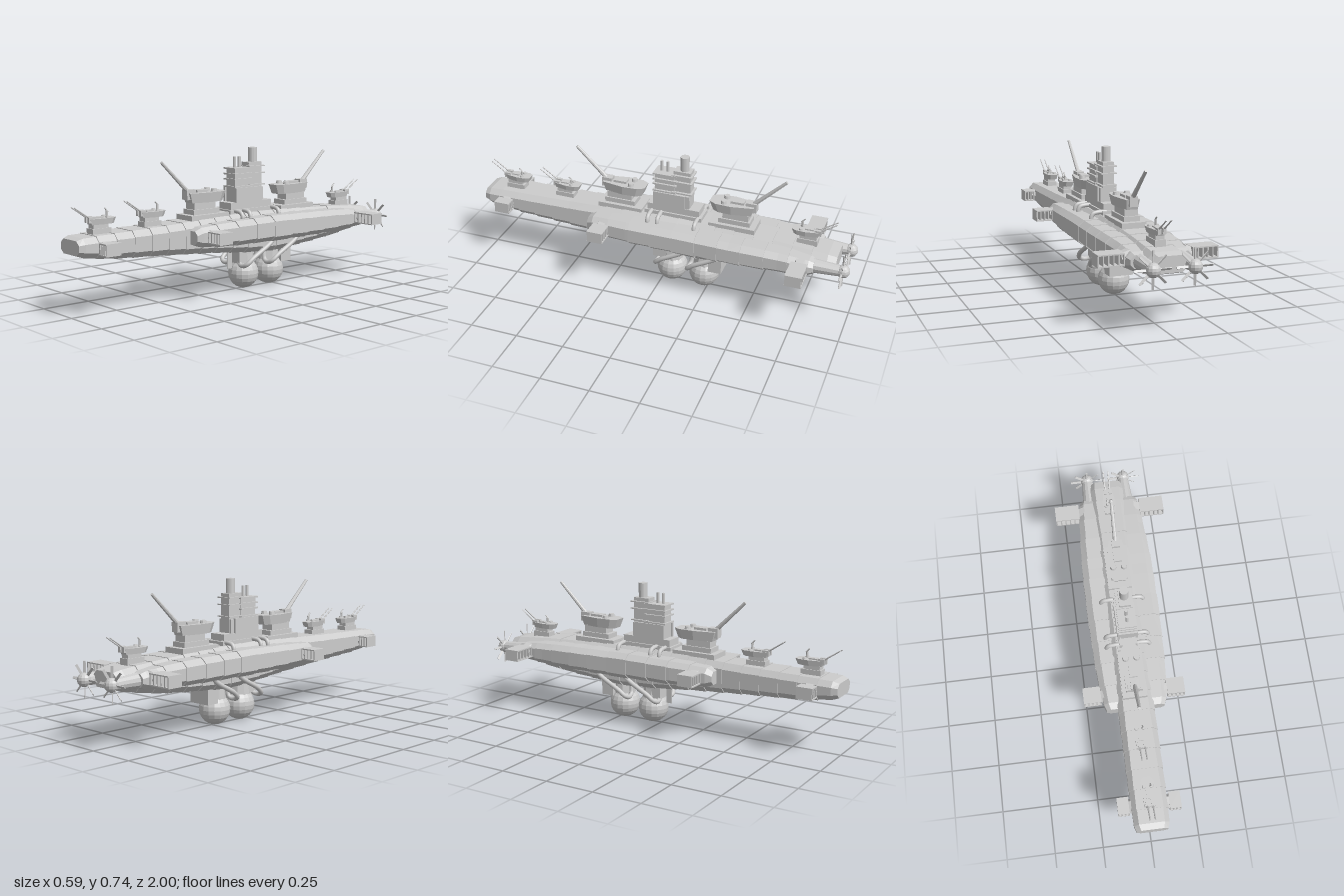
import * as THREE from 'three';

const mat = new THREE.MeshStandardMaterial({ color: 0xcccccc, flatShading: true, side: THREE.DoubleSide });
const smooth = new THREE.MeshStandardMaterial({ color: 0xcccccc });
const V = (x, y, z) => new THREE.Vector3(x, y, z);

function add(parent, name, geo, x = 0, y = 0, z = 0, m = mat) {
  const mesh = new THREE.Mesh(geo, m);
  mesh.name = name;
  mesh.position.set(x, y, z);
  parent.add(mesh);
  return mesh;
}
// Box given by its lower and upper limits on y and z, and its half width
function block(parent, name, hw, y0, y1, z0, z1, x = 0) {
  return add(parent, name, new THREE.BoxGeometry(hw * 2, y1 - y0, Math.abs(z1 - z0)), x, (y0 + y1) / 2, (z0 + z1) / 2);
}
function rod(parent, name, a, b, r0, r1 = r0, sides = 8) {
  const d = b.clone().sub(a);
  const mesh = add(parent, name, new THREE.CylinderGeometry(r1, r0, d.length(), sides));
  mesh.position.copy(a).addScaledVector(d, 0.5);
  mesh.quaternion.setFromUnitVectors(V(0, 1, 0), d.normalize());
  return mesh;
}
function pipe(parent, name, pts, r) {
  return add(parent, name, new THREE.TubeGeometry(new THREE.CatmullRomCurve3(pts), 24, r, 10), 0, 0, 0, smooth);
}
// Linear lookup in rows of [z, ...values], z falling
function lookup(rows, z) {
  let i = 0;
  while (i < rows.length - 2 && z < rows[i + 1][0]) i++;
  const a = rows[i], b = rows[i + 1], t = (z - a[0]) / (b[0] - a[0]);
  return a.map((v, k) => v + (b[k] - v) * t);
}
// Eight-sided plated hull: rows are [z, halfWidth, bottom, top, chamferX, chamferY];
// every plate starts with a small step
function platedHull(rows, plates, step) {
  const rings = [];
  const ring = (row, grow) => {
    const [z, w0, b0, t0, cx, cy] = row;
    const w = w0 + grow, b = b0 - grow, t = t0 + grow;
    rings.push([[w, b + cy], [w, t - cy], [w - cx, t], [cx - w, t], [-w, t - cy], [-w, b + cy], [cx - w, b], [w - cx, b]]
      .map(([x, y]) => V(x, y, z)));
  };
  const zs = [...new Set([...rows.map(r => r[0]), ...plates])].sort((a, b) => b - a);
  for (const z of zs) {
    const row = lookup(rows, z);
    if (plates.includes(z)) {
      ring(row, z > -0.2 ? 0 : step);
      ring(row, z > -0.2 ? step : 0);
    } else ring(row, 0);
  }
  const pos = [], tri = (...p) => p.forEach(v => pos.push(v.x, v.y, v.z));
  for (let j = 0; j + 1 < rings.length; j++) for (let i = 0; i < 8; i++) {
    const k = (i + 1) % 8, a = rings[j], b = rings[j + 1];
    tri(a[i], b[i], b[k]);
    tri(a[i], b[k], a[k]);
  }
  const first = rings[0], last = rings[rings.length - 1];
  for (let i = 1; i < 7; i++) {
    tri(first[0], first[i], first[i + 1]);
    tri(last[0], last[i + 1], last[i]);
  }
  const geo = new THREE.BufferGeometry();
  geo.setAttribute('position', new THREE.Float32BufferAttribute(pos, 3));
  geo.computeVertexNormals();
  return geo;
}
// Turret pointing to +z, turned by dir; gunXs lists the barrels, tip is [y, z]
function turret(parent, name, y, z, dir, scale, gunXs, tip, r) {
  const g = new THREE.Group();
  g.name = name;
  g.position.set(0, y, z);
  g.rotation.y = dir > 0 ? 0 : Math.PI;
  g.scale.set(...scale);
  block(g, 'turretBase', 0.042, -0.03, 0.035, -0.075, 0.09);
  block(g, 'barbette', 0.034, 0.03, 0.07, -0.055, 0.08);
  const plan = new THREE.Shape([[-0.03, 0.125], [0.03, 0.125], [0.05, 0.09], [0.054, 0.01], [0.034, -0.105],
    [-0.034, -0.105], [-0.054, 0.01], [-0.05, 0.09]].map(p => new THREE.Vector2(...p)));
  const body = new THREE.ExtrudeGeometry(plan, { depth: 0.05, bevelEnabled: false }).rotateX(-Math.PI / 2);
  // Lower edge pulled inward, so the house flares upward
  const p = body.attributes.position;
  for (let i = 0; i < p.count; i++) if (p.getY(i) < 0.01) p.setXYZ(i, p.getX(i) * 0.85, 0, p.getZ(i) * 0.85);
  add(g, 'turretHouse', body, 0, 0.068, 0);
  for (const s of [-1, 1]) add(g, 'hatchDome', new THREE.CylinderGeometry(0.014, 0.017, 0.016, 10), s * 0.028, 0.125, -0.05);
  block(g, 'roofPlate', 0.02, 0.115, 0.13, -0.02, 0.05);
  for (const x of gunXs) {
    block(g, 'gunMount', r * 1.7, 0.085, 0.135, 0.06, 0.115, x);
    rod(g, 'gunBarrel', V(x, 0.105, 0.075), V(x, ...tip), r, r * 0.65);
  }
  parent.add(g);
  return g;
}
// Hollow slatted fin, reaching from x0 to x1
function fin(parent, side, x0, x1, z, slats) {
  const g = new THREE.Group();
  g.name = side > 0 ? 'leftFin' : 'rightFin';
  const mid = side * (x0 + x1) / 2, hw = (x1 - x0) / 2;
  for (const y of [0.296, 0.349]) block(g, 'finPlate', hw, y, y + 0.006, z - 0.042, z + 0.042, mid);
  for (let i = 0; i <= slats; i++)
    block(g, 'finSlat', 0.003, 0.298, 0.352, z - 0.04, z + 0.04, side * (x0 + 0.003 + (x1 - x0 - 0.006) * i / slats));
  const mount = add(g, 'finMount', new THREE.CylinderGeometry(0.03, 0.045, 0.04, 6), side * (x0 - 0.01), 0.325, z);
  mount.rotation.z = -side * Math.PI / 2;
  parent.add(g);
}

export function createModel() {
  const model = new THREE.Group();
  model.name = 'airship';

  // Hulls
  const plates = (a, b, n) => Array.from({ length: n }, (_, i) => a + (b - a) * i / (n - 1));
  add(model, 'mainHull', platedHull([
    [1, 0.078, 0.298, 0.368, 0.022, 0.02], [0.97, 0.088, 0.288, 0.378, 0.024, 0.026],
    [0.8, 0.09, 0.267, 0.382, 0.025, 0.028], [0.5, 0.09, 0.247, 0.388, 0.026, 0.03],
    [0.2, 0.092, 0.223, 0.398, 0.03, 0.03], [0, 0.094, 0.202, 0.405, 0.034, 0.03],
    [-0.2, 0.094, 0.188, 0.404, 0.034, 0.03], [-0.6, 0.092, 0.22, 0.388, 0.03, 0.03],
    [-0.88, 0.09, 0.265, 0.368, 0.025, 0.026], [-0.925, 0.082, 0.28, 0.358, 0.022, 0.022]],
  plates(0.9, -0.8, 18), 0.003));
  add(model, 'sideHull', platedHull([
    [0.372, 0.148, 0.288, 0.355, 0.02, 0.02], [0.34, 0.16, 0.275, 0.372, 0.024, 0.024],
    [0.15, 0.178, 0.265, 0.382, 0.03, 0.026], [-0.1, 0.185, 0.262, 0.388, 0.032, 0.026],
    [-0.4, 0.186, 0.262, 0.384, 0.032, 0.026], [-0.65, 0.172, 0.266, 0.374, 0.028, 0.026],
    [-0.8, 0.16, 0.274, 0.358, 0.024, 0.024], [-0.825, 0.15, 0.285, 0.348, 0.02, 0.02]],
  plates(0.25, -0.7, 9), 0.003));

  // Turrets: two large single-gun and three small twin-gun
  const big = [1, 1, 1], small = [0.64, 0.56, 0.62];
  for (const [name, z, dir] of [['frontMainTurret', 0.22, 1], ['rearMainTurret', -0.38, -1]]) {
    turret(model, name, 0.41, z, dir, big, [0], [0.28, 0.257], 0.012);
    block(model, 'turretDeck', 0.062, 0.38, 0.42, z - 0.12, z + 0.12);
  }
  for (const [name, y, z, dir] of [['bowTurret', 0.388, 0.835, 1], ['secondTurret', 0.393, 0.545, 1], ['sternTurret', 0.385, -0.757, -1]]) {
    const t = turret(model, name, y, z, dir, small, [-0.02, 0.02], [0.225, 0.235], 0.007);
    rod(t, 'lookoutPost', V(0.02, 0.11, -0.05), V(0.02, 0.175, -0.05), 0.009);
    rod(t, 'lookoutGun', V(0.02, 0.165, -0.06), V(0.02, 0.2, -0.03), 0.006);
  }

  // Superstructure
  block(model, 'bridgeBase', 0.055, 0.39, 0.425, 0.085, -0.22);
  block(model, 'bridgeLowerDeck', 0.046, 0.42, 0.46, 0.072, -0.205);
  block(model, 'bridgeTower', 0.034, 0.45, 0.635, 0.035, -0.07);
  block(model, 'bridgeLowerHouse', 0.042, 0.46, 0.53, 0.03, -0.15);
  for (const y of [0.535, 0.573, 0.6, 0.629]) block(model, 'bridgePlatform', 0.045, y, y + 0.008, 0.045, -0.08);
  for (const y of [0.54, 0.6, 0.636]) block(model, 'funnelPlatform', 0.042, y, y + 0.006, -0.055, -0.163);
  for (const s of [-1, 1]) block(model, 'bridgeRib', 0.006, 0.46, 0.535, 0.04, -0.13, s * 0.046);
  block(model, 'funnelTower', 0.029, 0.45, 0.66, -0.062, -0.152);
  add(model, 'funnel', new THREE.CylinderGeometry(0.023, 0.023, 0.1, 16), 0, 0.685, -0.113);
  for (const z of [0.01, -0.022]) rod(model, 'mast', V(0, 0.62, z), V(0, 0.692, z), 0.008);

  // Spheres under the keel, with their pylons
  for (const z of [-0.05, -0.228]) {
    add(model, 'ballastSphere', new THREE.SphereGeometry(0.08, 16, 12), 0, 0.08, z);
    add(model, 'sphereNeck', new THREE.CylinderGeometry(0.05, 0.06, 0.09, 10), 0, 0.165, z);
  }
  block(model, 'rearPylon', 0.062, 0.12, 0.22, -0.265, -0.335);
  block(model, 'frontPylon', 0.05, 0.14, 0.22, 0.02, -0.06);
  block(model, 'keelFin', 0.003, 0.112, 0.2, 0.03, 0.06);

  for (const s of [-1, 1]) {
    // Deck pipes and keel pipes
    for (const z of [0.05, -0.003, -0.2])
      pipe(model, 'deckPipe', [V(s * 0.11, 0.37, z), V(s * 0.11, 0.395, z), V(s * 0.099, 0.413, z), V(s * 0.075, 0.419, z), V(s * 0.03, 0.419, z)], 0.011);
    for (const z of [0.01, -0.165])
      pipe(model, 'keelPipe', [V(s * 0.11, 0.28, z - 0.185), V(s * 0.11, 0.245, z - 0.16), V(s * 0.11, 0.17, z - 0.03),
        V(s * 0.1, 0.142, z), V(s * 0.07, 0.131, z + 0.005), V(s * 0.04, 0.14, z), V(s * 0.026, 0.185, z - 0.005)], 0.012);

    // Fins
    fin(model, s, 0.1, 0.157, 0.865, 3);
    fin(model, s, 0.17, 0.26, 0.283, 4);
    fin(model, s, 0.165, 0.294, -0.76, 5);

    // Engine pods and propellers
    rod(model, 'enginePod', V(s * 0.1, 0.315, -0.78), V(s * 0.1, 0.312, -0.95), 0.04, 0.028, 12);
    add(model, 'propellerHub', new THREE.SphereGeometry(0.034, 12, 8), s * 0.1, 0.312, -0.966);
    for (let i = 0; i < 8; i++) {
      const a = i * Math.PI / 4;
      const blade = add(model, 'propellerBlade', new THREE.BoxGeometry(0.012, 0.062, 0.004).translate(0, 0.057, 0).rotateY(0.6), s * 0.1, 0.312, -0.963);
      blade.rotation.z = a;
    }
  }
  return model;
}
